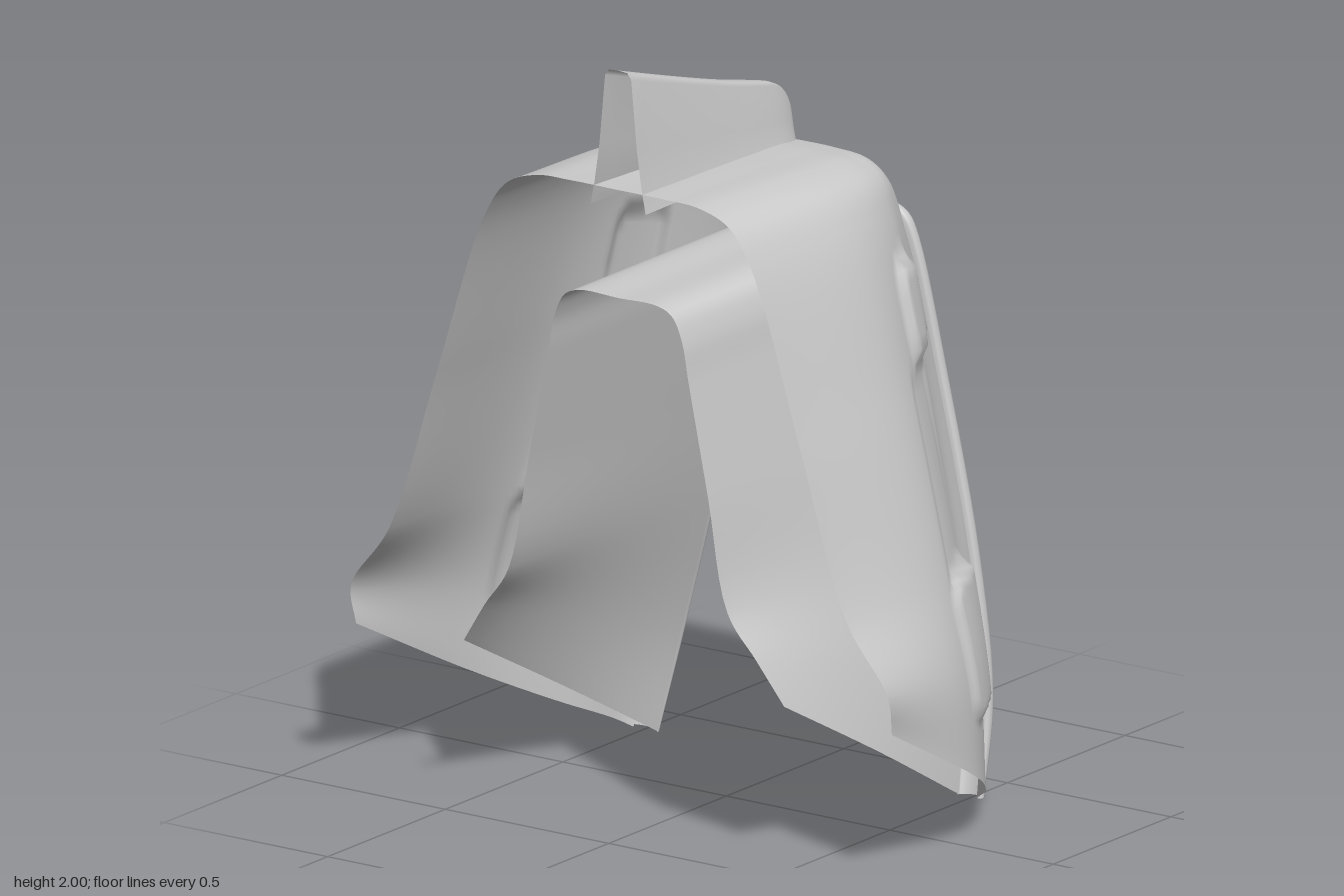
import * as THREE from 'three';

const material = new THREE.MeshStandardMaterial({ color: 0xcccccc, side: THREE.DoubleSide });

// Mirror a half profile (from the centreline down the +x flank) into a full arch.
function arch(half, zs) {
  const right = half.map(([x, y], i) => new THREE.Vector3(x, y, Array.isArray(zs) ? zs[i] : zs));
  const left = right.slice(1).reverse().map(p => new THREE.Vector3(-p.x, p.y, p.z));
  return [...left, ...right];
}

// Skin a smooth surface through a list of cross-sections.
function loft(name, rows, perRow, perPoint, adjust, straight = false) {
  const nu = (rows.length - 1) * perRow;
  const nv = (rows[0].length - 1) * perPoint;
  const sections = rows.map(r => {
    if (straight) return r;
    const curve = new THREE.CatmullRomCurve3(r, false, 'centripetal');
    return Array.from({ length: nv + 1 }, (_, j) => curve.getPoint(j / nv));
  });
  const columns = sections[0].length;
  const pos = new Float32Array((nu + 1) * columns * 3);
  const index = [];
  for (let j = 0; j < columns; j++) {
    const along = new THREE.CatmullRomCurve3(sections.map(s => s[j]), false, 'centripetal');
    for (let i = 0; i <= nu; i++) {
      const p = along.getPoint(i / nu);
      if (adjust) adjust(p);
      p.toArray(pos, (i * columns + j) * 3);
      if (i < nu && j < columns - 1) {
        const a = i * columns + j, b = a + columns;
        index.push(a, b, a + 1, b, b + 1, a + 1);
      }
    }
  }
  const g = new THREE.BufferGeometry();
  g.setAttribute('position', new THREE.BufferAttribute(pos, 3));
  g.setIndex(index);
  g.computeVertexNormals();
  const mesh = new THREE.Mesh(g, material);
  mesh.name = name;
  return mesh;
}

// Rounded-rectangle mask: 1 inside, fading to 0 over the soft edge.
function mask(z, y, cz, cy, hz, hy, r, soft) {
  const qz = Math.abs(z - cz) - hz + r, qy = Math.abs(y - cy) - hy + r;
  const d = Math.hypot(Math.max(qz, 0), Math.max(qy, 0)) + Math.min(Math.max(qz, qy), 0) - r;
  return 1 - THREE.MathUtils.smoothstep(d, -soft, 0);
}

// Raised pads and the shallow channel between them, on both flanks.
function emboss(p) {
  if (Math.abs(p.x) < 0.25 || p.z > 0.05) return;
  const towardBack = THREE.MathUtils.clamp(-p.z / 0.28, 0, 1);
  const upper = mask(p.z, p.y, -0.2, 1.3, 0.075, 0.13, 0.06, 0.022);
  const lower = mask(p.z, p.y, -0.15, 0.49, 0.14, 0.19, 0.08, 0.03);
  const widen = THREE.MathUtils.clamp((1.17 - p.y) / 0.5, 0, 1);
  const channel = mask(p.z, p.y, -0.165, 0.84, 0.09 + 0.05 * widen, 0.33, 0.04, 0.04);
  const d = upper * 0.022 + lower * (0.012 + 0.018 * towardBack) - channel * (1 - lower) * (1 - upper) * 0.008;
  p.x += Math.sign(p.x) * 0.8 * d;
  p.y += 0.2 * d;
  p.z -= 0.55 * d;
}

export function createModel() {
  const group = new THREE.Group();

  // Half profiles, front to back
  const front = [[0, 1.69], [0.14, 1.69], [0.25, 1.685], [0.34, 1.65], [0.41, 1.55], [0.555, 1.12], [0.70, 0.69], [0.82, 0.52], [0.82, 0.415]];
  const middle = [[0, 1.675], [0.14, 1.675], [0.25, 1.67], [0.34, 1.635], [0.405, 1.54], [0.54, 1.12], [0.665, 0.69], [0.74, 0.42], [0.765, 0.19]];
  const rear = [[0, 1.66], [0.14, 1.66], [0.24, 1.65], [0.315, 1.61], [0.36, 1.52], [0.465, 1.1], [0.58, 0.65], [0.635, 0.35], [0.65, 0.085]];
  const shoulder = [[0, 1.63], [0.13, 1.63], [0.225, 1.62], [0.28, 1.58], [0.315, 1.49], [0.405, 1.08], [0.5, 0.6], [0.545, 0.3], [0.565, 0.035]];
  const joint = [[0, 1.48], [0.12, 1.48], [0.21, 1.475], [0.25, 1.45], [0.275, 1.39], [0.35, 1.06], [0.45, 0.6], [0.505, 0.25], [0.525, 0.01]];
  const jointZ = [-0.385, -0.385, -0.385, -0.39, -0.395, -0.41, -0.41, -0.39, -0.335];

  group.add(loft('outerShell', [
    arch(front, [0.46, 0.46, 0.46, 0.46, 0.46, 0.46, 0.46, 0.455, 0.435]),
    arch(middle, 0), arch(rear, -0.2), arch(shoulder, -0.3), arch(joint, jointZ),
  ], 18, 14, emboss));

  // Inner tunnel, flaring out at its front lower corners
  const tunnelTop = [[0, 1.41], [0.12, 1.41], [0.165, 1.39], [0.195, 1.33], [0.215, 1.23], [0.275, 0.94]];
  const tunnelFront = [...tunnelTop, [0.335, 0.65], [0.415, 0.54], [0.49, 0.43]];
  const tunnelMiddle = [...tunnelTop, [0.337, 0.65], [0.415, 0.42], [0.48, 0.21]];
  const tunnelBack = [...tunnelTop, [0.34, 0.65], [0.43, 0.26], [0.46, 0.005]];
  const tunnelZ = jointZ.map(z => z - 0.015);
  group.add(loft('innerTunnel', [
    arch(tunnelFront, [0.46, 0.46, 0.46, 0.46, 0.46, 0.46, 0.46, 0.45, 0.435]),
    arch(tunnelMiddle, 0.02), arch(tunnelBack, tunnelZ),
  ], 10, 6));

  // Rounded bead joining the two shells around the rear opening
  const blend = (t, dz, grow = 0) => arch(
    joint.map(([x, y], i) => {
      const [bx, by] = tunnelBack[i];
      const side = i > 3 ? 1 : i / 4;
      return [x + (bx - x) * t + grow * side, Math.max(0, y + (by - y) * t + (i < 5 ? grow : 0))];
    }),
    jointZ.map((z, i) => z - dz * (i === 8 ? 0.6 : 1)),
  );
  group.add(loft('rearRim', [
    blend(0, 0), blend(0, 0.006, 0.011), blend(0, 0.03, 0.01),
    blend(0.25, 0.044), blend(0.7, 0.044), blend(1, 0.03), blend(1, 0.015),
  ], 3, 6));

  // Hollow top fin: z, top height, half width at top, half width at base
  const finRows = [
    [0.46, 2.0, 0.04, 0.078], [0.2, 1.92, 0.037, 0.073], [0, 1.862, 0.033, 0.066],
    [-0.12, 1.832, 0.029, 0.058], [-0.18, 1.815, 0.025, 0.052], [-0.22, 1.79, 0.021, 0.044],
    [-0.25, 1.74, 0.018, 0.034], [-0.27, 1.65, 0.012, 0.02],
  ].map(([z, top, wt, wb]) => {
    const h = top - 1.64;
    const half = [[0, top], [wt * 0.7, top - 0.002], [wt, top - h * 0.05],
      [wt + (wb - wt) * 0.45, 1.64 + h * 0.45], [wb * 0.93, 1.64 + h * 0.16], [wb * 1.08, 1.64]];
    return arch(half, z);
  });
  group.add(loft('topFin', finRows, 4, 1, null, true));

  return group;
}
